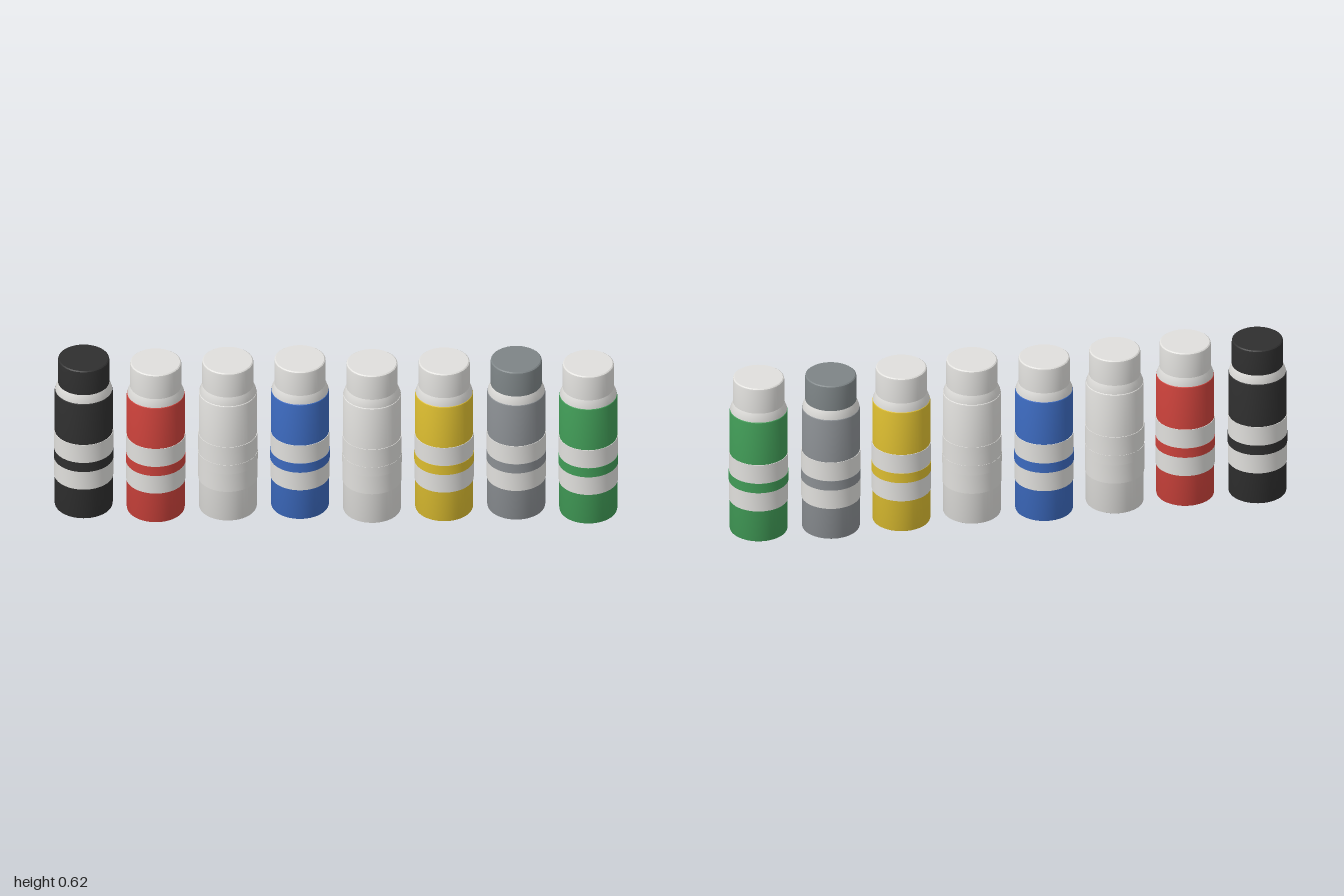
import * as THREE from 'three';
import { toCreasedNormals } from 'three/addons/utils/BufferGeometryUtils.js';

const SEGMENTS = 48;

// Solid of revolution from [radius, height] pairs, with crisp rims
function turned(points) {
  const profile = points.map(([r, y]) => new THREE.Vector2(r, y));
  return toCreasedNormals(new THREE.LatheGeometry(profile, SEGMENTS), 0.5);
}

// Closed ring band between two heights
function band(radius, y0, y1) {
  const inner = 0.1;
  return turned([[inner, y0], [radius, y0], [radius, y1], [inner, y1]]);
}

function material(name, color) {
  const m = new THREE.MeshStandardMaterial({ color });
  m.name = name;
  return m;
}

export function createModel() {
  const white = material('white', 0xe0dfdc);
  const black = material('black', 0x2f2f2f);
  const red = material('red', 0xcc423b);
  const blue = material('blue', 0x3c6abf);
  const yellow = material('yellow', 0xdcbd30);
  const grey = material('grey', 0x8b8f93);
  const slate = material('slate grey', 0x7d8486);
  const green = material('green', 0x419c57);

  // Shared part shapes
  const shapes = {
    body: turned([[0, 0], [0.099, 0], [0.102, 0.002], [0.103, 0.006],
      [0.103, 0.479], [0.102, 0.483], [0.099, 0.485], [0, 0.485]]),
    lowerBand: band(0.105, 0.125, 0.2),
    middleBand: band(0.106, 0.2, 0.238),
    upperBand: band(0.105, 0.238, 0.313),
    collar: turned([[0, 0.485], [0.101, 0.485], [0.101, 0.488], [0.09, 0.517], [0, 0.517]]),
    cap: turned([[0, 0.516], [0.091, 0.516], [0.091, 0.607], [0.09, 0.612],
      [0.086, 0.615], [0, 0.615]]),
  };

  // Body and cap colours, from the model's right to its left
  const bottles = [
    [black, black], [red, white], [white, white], [blue, white],
    [white, white], [yellow, white], [grey, slate], [green, white],
  ];
  const offsets = [-0.012, 0.012, 0]; // slight stagger in depth

  const model = new THREE.Group();
  model.name = 'bottleRow';
  bottles.forEach(([bodyColor, capColor], i) => {
    const bottle = new THREE.Group();
    bottle.name = 'bottle' + (i + 1);
    const colors = {
      body: bodyColor, lowerBand: white, middleBand: bodyColor,
      upperBand: white, collar: white, cap: capColor,
    };
    for (const part in shapes) {
      const mesh = new THREE.Mesh(shapes[part], colors[part]);
      mesh.name = part;
      bottle.add(mesh);
    }
    bottle.position.set(-0.894 + (i * 1.788) / 7, 0, offsets[i % 3]);
    model.add(bottle);
  });
  return model;
}
